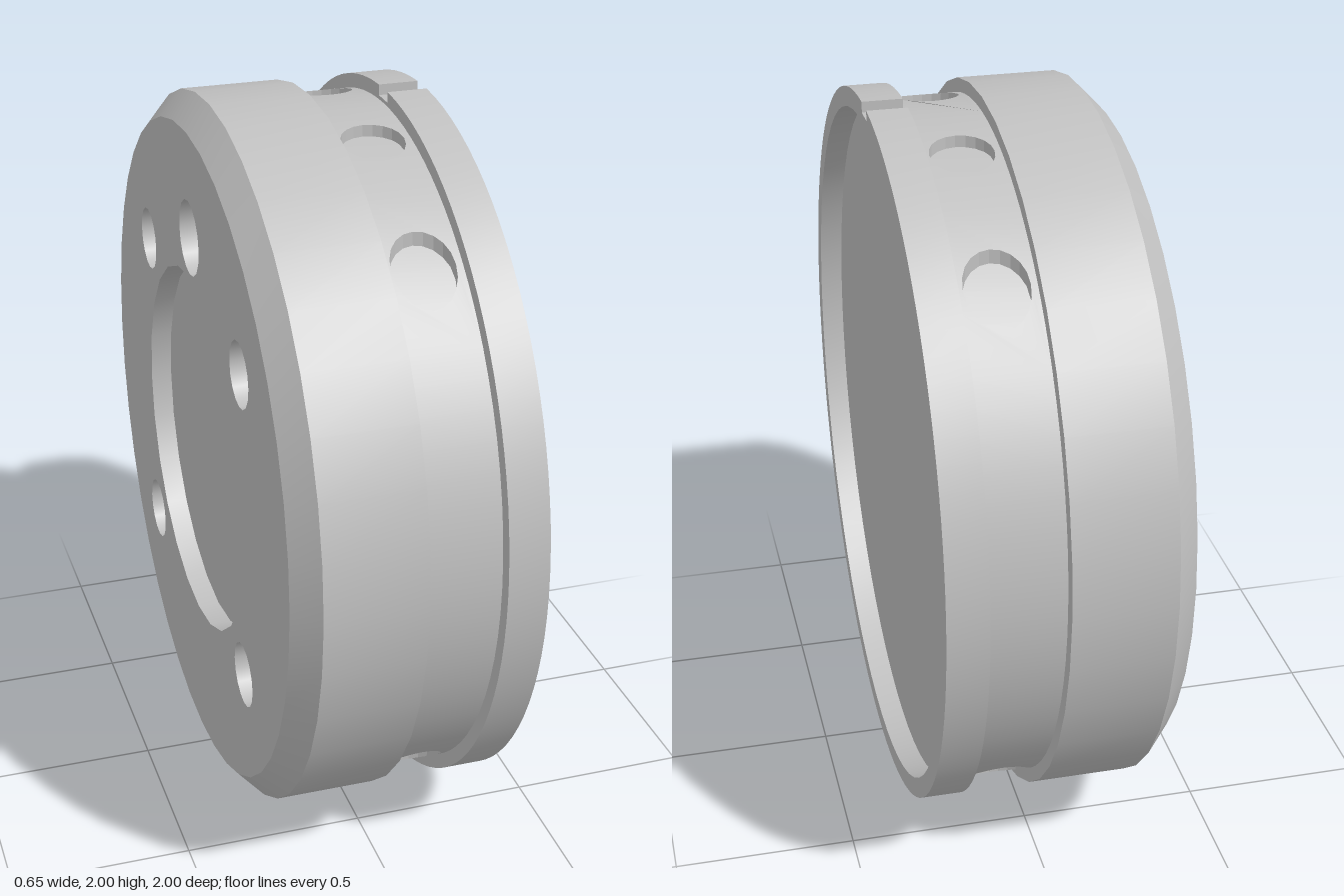
import * as THREE from 'three';
import { toCreasedNormals } from 'three/addons/utils/BufferGeometryUtils.js';

const NECK = 0.96, CORE = 0.93; // neck shell and inner core radii
const X0 = -0.33, STEP = 0.01, FLANGE = 0.215, X1 = 0.325; // stations along the axis

export function createModel() {
  const root = new THREE.Group();
  const body = new THREE.Group();
  body.name = 'drum';
  body.position.y = 1;
  root.add(body);
  const metal = new THREE.MeshStandardMaterial({ color: 0xc0c0c0 });
  metal.name = 'grey metal';

  const add = (name, geometry) => {
    const mesh = new THREE.Mesh(geometry, metal);
    mesh.name = name;
    body.add(mesh);
    return mesh;
  };
  const crease = (g) => toCreasedNormals(g, 0.5);
  const circle = (x, y, r, n) => {
    const pts = [];
    for (let i = 0; i < n; i++) {
      const a = (i / n) * Math.PI * 2;
      pts.push(new THREE.Vector2(x + r * Math.cos(a), y + r * Math.sin(a)));
    }
    return pts;
  };
  // Plate drawn in the disc plane and extruded along +x
  const plate = (outline, holes, x, depth) => {
    const shape = new THREE.Shape(outline);
    shape.holes = holes.map((h) => new THREE.Path(h));
    const g = new THREE.ExtrudeGeometry(shape, { depth, bevelEnabled: false });
    return crease(g.rotateY(Math.PI / 2).translate(x, 0, 0));
  };
  const disc = (r, xa, xb, n) =>
    crease(new THREE.CylinderGeometry(r, r, xb - xa, n).rotateZ(-Math.PI / 2).translate((xa + xb) / 2, 0, 0));

  // Chamfered outer rim
  const rim = [[0.93, X0], [1, -0.265], [1, STEP], [0.92, STEP]].map((p) => new THREE.Vector2(...p));
  add('outerRim', crease(new THREE.LatheGeometry(rim, 40).rotateZ(-Math.PI / 2)));

  // Back plate with centre recess, four bolt holes and one larger hole
  const holes = [circle(0, 0, 0.52, 24), circle(0, 0.635, 0.105, 16)];
  for (const sx of [-1, 1]) for (const sy of [-1, 1]) holes.push(circle(sx * 0.49, sy * 0.45, 0.09, 16));
  add('backPlate', plate(circle(0, 0, 0.93, 40), holes, X0, 0.25));
  add('recessFloor', disc(0.52, X0 + 0.06, -0.08, 24));

  // Inner core, seen at the bottom of the holes, and the sunken front face
  add('core', disc(CORE, -0.08, FLANGE + 0.01, 64));
  add('frontFace', disc(0.948, FLANGE + 0.002, X1 - 0.065, 64));

  // Front flange with a keyway notch at the top
  const outline = [], half = 0.035;
  for (let i = 0; i <= 96; i++) {
    const a = Math.PI / 2 + half + (i / 96) * (Math.PI * 2 - 2 * half);
    outline.push(new THREE.Vector2(Math.cos(a), Math.sin(a)));
  }
  outline.push(new THREE.Vector2(half, 0.97), new THREE.Vector2(-half, 0.97));
  add('frontFlange', plate(outline, [circle(0, 0, 0.945, 64)], FLANGE, X1 - FLANGE));

  // Neck panels: flat panels with a hole, projected vertically onto the cylinder
  const step = THREE.MathUtils.degToRad(26.6);
  const panel = (centre) => {
    const pts = [], n = 8;
    const z = (i) => NECK * Math.sin(centre + (i / n - 0.5) * step);
    for (let i = 0; i <= n; i++) pts.push(new THREE.Vector2(z(i), STEP));
    for (let i = n; i >= 0; i--) pts.push(new THREE.Vector2(z(i), FLANGE));
    const shape = new THREE.Shape(pts);
    shape.holes.push(new THREE.Path(circle(NECK * Math.sin(centre), 0.112, 0.085, 20)));
    const g = new THREE.ExtrudeGeometry(shape, { depth: 1, bevelEnabled: false });
    const p = g.attributes.position;
    for (let i = 0; i < p.count; i++) {
      const w = p.getX(i), r = p.getZ(i) > 0.5 ? NECK : CORE - 0.01;
      p.setXYZ(i, p.getY(i), Math.sqrt(r * r - w * w), w);
    }
    g.computeVertexNormals();
    // Smooth radial normals on the outer skin
    const caps = g.groups[0];
    for (let i = caps.start; i < caps.start + caps.count; i++) {
      const y = p.getY(i), w = p.getZ(i), r = Math.hypot(y, w);
      if (r > NECK - 0.01) g.attributes.normal.setXYZ(i, 0, y / r, w / r);
    }
    g.clearGroups();
    return g;
  };
  for (const k of [-1.5, -0.5, 0.5, 1.5]) {
    const g = panel(k * step);
    add('upperNeckPanel', g);
    add('lowerNeckPanel', g).rotation.x = Math.PI;
  }

  // Plain neck sides between the upper and lower panels
  const side = Math.PI / 2 - 2 * step;
  for (const start of [-side, Math.PI - side]) {
    const g = new THREE.CylinderGeometry(NECK, NECK, FLANGE - STEP, 16, 1, true, start, side * 2);
    add('neckSide', g.rotateZ(-Math.PI / 2).translate((FLANGE + STEP) / 2, 0, 0));
  }
  return root;
}
